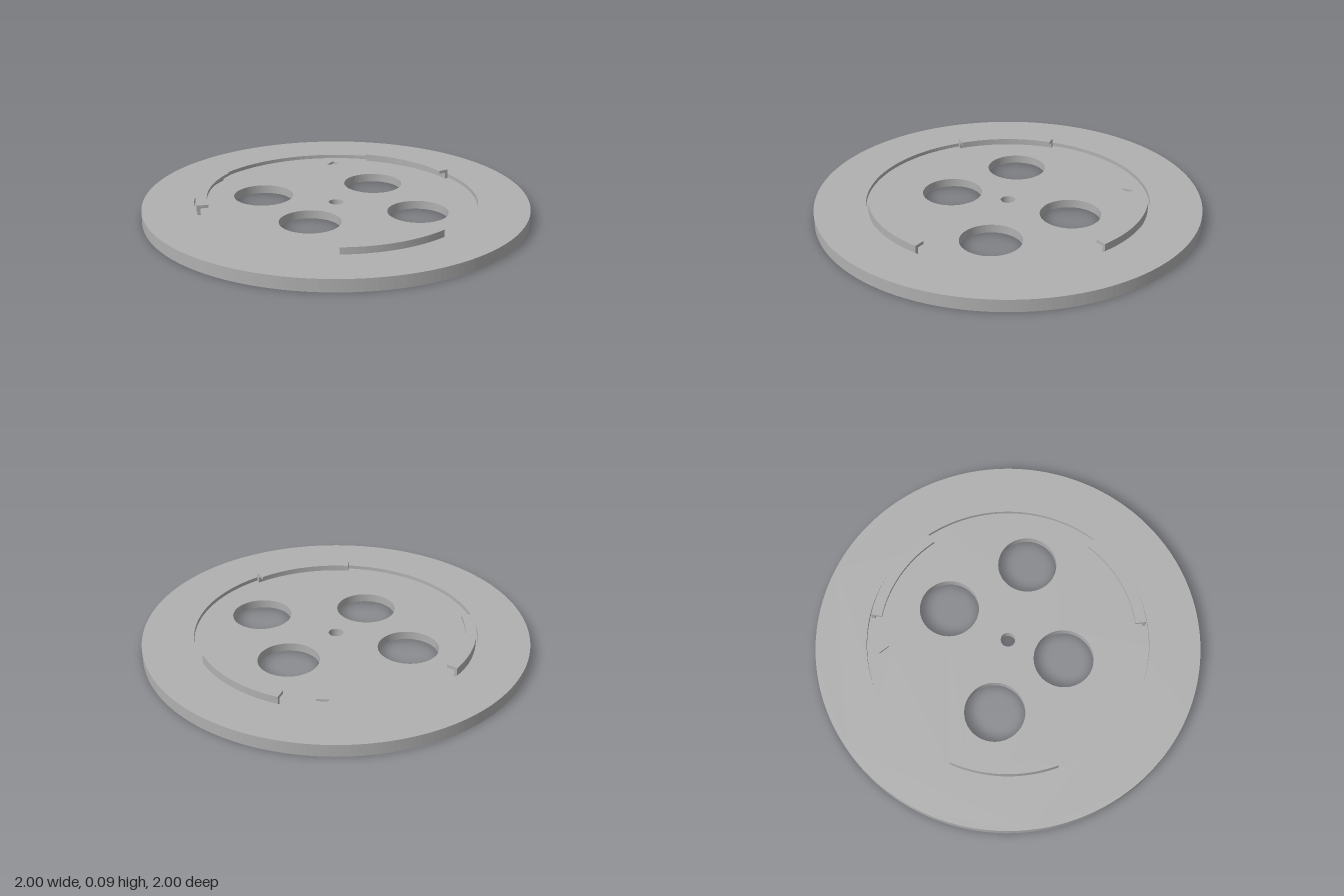
import * as THREE from 'three';

const grey = new THREE.MeshStandardMaterial({ color: 0xb0b0b0 });
grey.name = 'plain grey';

const TOP = 0.064, FLOOR = 0.044, MARK_FLOOR = 0.032;
const RECESS_R = 0.735;
const HOLES = [[0.208, -0.288, 0.156], [-0.382, -0.11, 0.156], [-0.135, 0.276, 0.156], [0.414, 0.15, 0.156], [0, 0, 0.038]];
const MARK = [[0, -0.674], [-0.035, -0.62], [0.035, -0.62]];

// Shapes are drawn in (x, -z) so that extrusion runs upward once laid flat
const circle = (Type, x, z, r) => new Type().absarc(x, -z, r, 0, Math.PI * 2, false);
const triangle = (Type) => new Type(MARK.map(([x, z]) => new THREE.Vector2(x, -z)));

function slab(name, shape, y0, y1, curveSegments = 64) {
  const geometry = new THREE.ExtrudeGeometry(shape, { depth: y1 - y0, bevelEnabled: false, curveSegments });
  geometry.rotateX(-Math.PI / 2).translate(0, y0, 0);
  const mesh = new THREE.Mesh(geometry, grey);
  mesh.name = name;
  return mesh;
}

// Ring sector between two radii; angles run from +x toward +z
function sector(r0, r1, from, to) {
  const a = -THREE.MathUtils.degToRad(to), b = -THREE.MathUtils.degToRad(from);
  const shape = new THREE.Shape();
  shape.absarc(0, 0, r1, a, b, false);
  shape.absarc(0, 0, r0, b, a, true);
  shape.closePath();
  return shape;
}

export function createModel() {
  const model = new THREE.Group();
  model.name = 'slottedDisc';

  // Outer rim standing above the recessed floor
  const rim = circle(THREE.Shape, 0, 0, 1);
  rim.holes.push(circle(THREE.Path, 0, 0, RECESS_R));
  model.add(slab('rim', rim, 0, TOP, 96));

  // Recessed floor with round holes and an engraved triangle
  const floor = circle(THREE.Shape, 0, 0, RECESS_R);
  HOLES.forEach(([x, z, r]) => floor.holes.push(circle(THREE.Path, x, z, r)));
  floor.holes.push(triangle(THREE.Path));
  model.add(slab('recessedFloor', floor, 0, FLOOR, 96));
  model.add(slab('alignmentMark', triangle(THREE.Shape), 0, MARK_FLOOR));

  // Three locking tabs: a thin upright wall with a lip pointing inward
  for (let i = 0; i < 3; i++) {
    const from = 46 + i * 120, to = from + 44;
    const tab = new THREE.Group();
    tab.name = 'lockingTab' + (i + 1);
    tab.add(slab('tabWall', sector(0.708, 0.725, from, to), FLOOR, 0.079, 32));
    tab.add(slab('tabLip', sector(0.668, 0.725, from, to), 0.079, 0.095, 32));
    model.add(tab);
  }
  return model;
}
